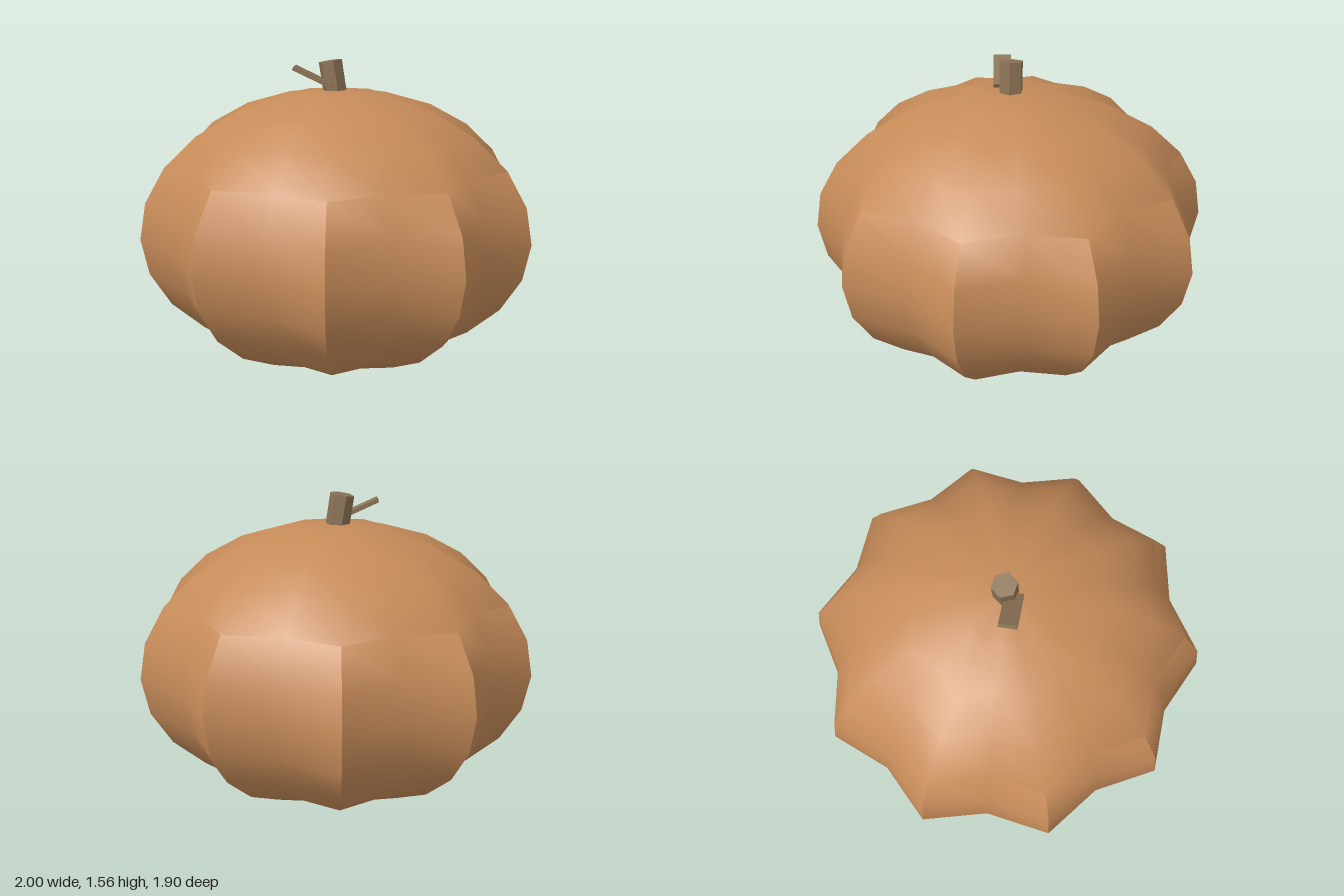
import * as THREE from 'three';
import { toCreasedNormals } from 'three/addons/utils/BufferGeometryUtils.js';

const skin = new THREE.MeshStandardMaterial({ name: 'orange skin', color: 0xc68b59 });
const wood = new THREE.MeshStandardMaterial({ name: 'brown stem', color: 0x8b7355 });

const RIBS = 10;
const HALF_HEIGHT = 0.706;
const GROOVE = 0.888; // groove radius relative to rib radius

// Squashed sphere whose every second meridian is pulled in to a groove
function pumpkinGeometry() {
  const geo = new THREE.SphereGeometry(1, RIBS * 2, 12);
  const p = geo.attributes.position;
  for (let i = 0; i < p.count; i++) {
    const angle = Math.atan2(p.getZ(i), p.getX(i));
    const k = (1 + GROOVE) / 2 + ((1 - GROOVE) / 2) * Math.cos(angle * RIBS);
    p.setXYZ(i, p.getX(i) * k, (p.getY(i) + 1) * HALF_HEIGHT, p.getZ(i) * k);
  }
  return toCreasedNormals(geo, THREE.MathUtils.degToRad(52));
}

export function createModel() {
  const group = new THREE.Group();
  group.name = 'pumpkin';

  const body = new THREE.Mesh(pumpkinGeometry(), skin);
  body.name = 'body';
  group.add(body);

  // Six-sided stem leaning slightly to the side and back
  const base = new THREE.Vector3(-0.005, 1.37, -0.002);
  const tip = new THREE.Vector3(-0.03, 1.55, -0.015);
  const axis = tip.clone().sub(base);
  const stemGeo = new THREE.CylinderGeometry(0.06, 0.06, axis.length(), 6);
  const stem = new THREE.Mesh(toCreasedNormals(stemGeo, 0.5), wood);
  stem.name = 'stem';
  stem.position.copy(base).lerp(tip, 0.5);
  stem.quaternion.setFromUnitVectors(new THREE.Vector3(0, 1, 0), axis.normalize());
  group.add(stem);

  // Flat offshoot rising from the foot of the stem
  const along = new THREE.Vector3(-0.18, 0.09, -0.07).normalize();
  const across = new THREE.Vector3(0.07, 0, -0.18).normalize();
  const up = new THREE.Vector3().crossVectors(across, along);
  const offshoot = new THREE.Mesh(new THREE.BoxGeometry(0.21, 0.02, 0.085), wood);
  offshoot.name = 'offshoot';
  offshoot.quaternion.setFromRotationMatrix(new THREE.Matrix4().makeBasis(along, up, across));
  offshoot.position.set(-0.12, 1.475, -0.004);
  group.add(offshoot);

  return group;
}
